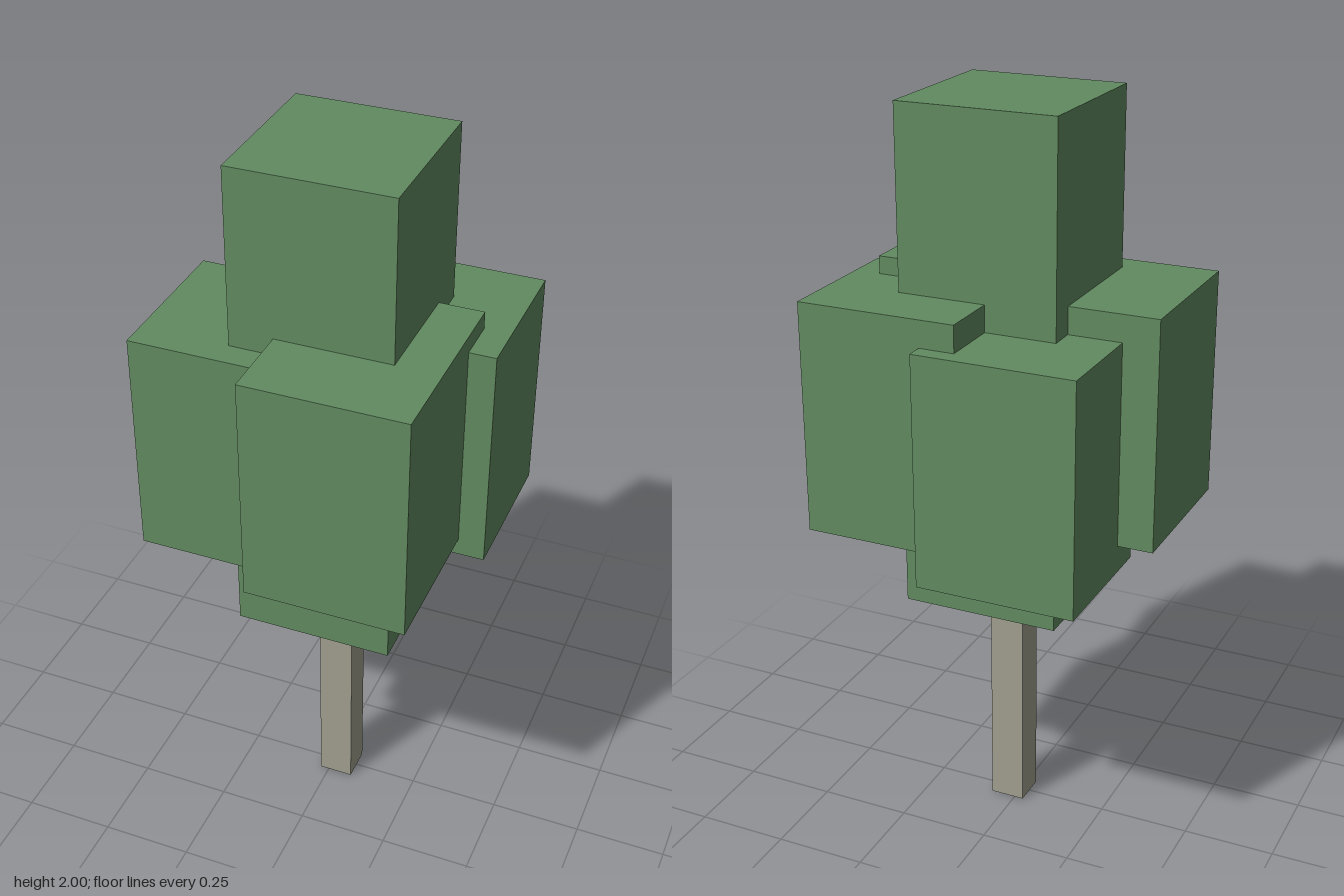
import * as THREE from 'three';

export function createModel() {
  const model = new THREE.Group();
  const leaf = new THREE.MeshStandardMaterial({ color: 0x628b60 });
  leaf.name = 'leaf green';
  const bark = new THREE.MeshStandardMaterial({ color: 0xa1a08f });
  bark.name = 'greyish bark';

  // Box given by its extents along each axis
  const block = (name, material, [x0, x1], [y0, y1], [z0, z1]) => {
    const mesh = new THREE.Mesh(new THREE.BoxGeometry(x1 - x0, y1 - y0, z1 - z0), material);
    mesh.position.set((x0 + x1) / 2, (y0 + y1) / 2, (z0 + z1) / 2);
    mesh.name = name;
    model.add(mesh);
  };

  // Trunk
  block('trunk', bark, [-0.025, 0.07], [0, 0.68], [-0.047, 0.047]);

  // Tall central foliage with four offset clumps around it
  block('foliageCore', leaf, [-0.19, 0.236], [0.67, 2], [-0.215, 0.212]);
  block('foliageFront', leaf, [-0.072, 0.355], [0.957, 1.573], [-0.097, 0.426]);
  block('foliageBack', leaf, [-0.333, 0.094], [0.837, 1.455], [-0.428, -0.05]);
  block('foliageLeft', leaf, [0, 0.426], [0.91, 1.526], [-0.382, 0.023]);
  block('foliageRight', leaf, [-0.428, -0.07], [0.911, 1.527], [-0.144, 0.284]);

  return model;
}
